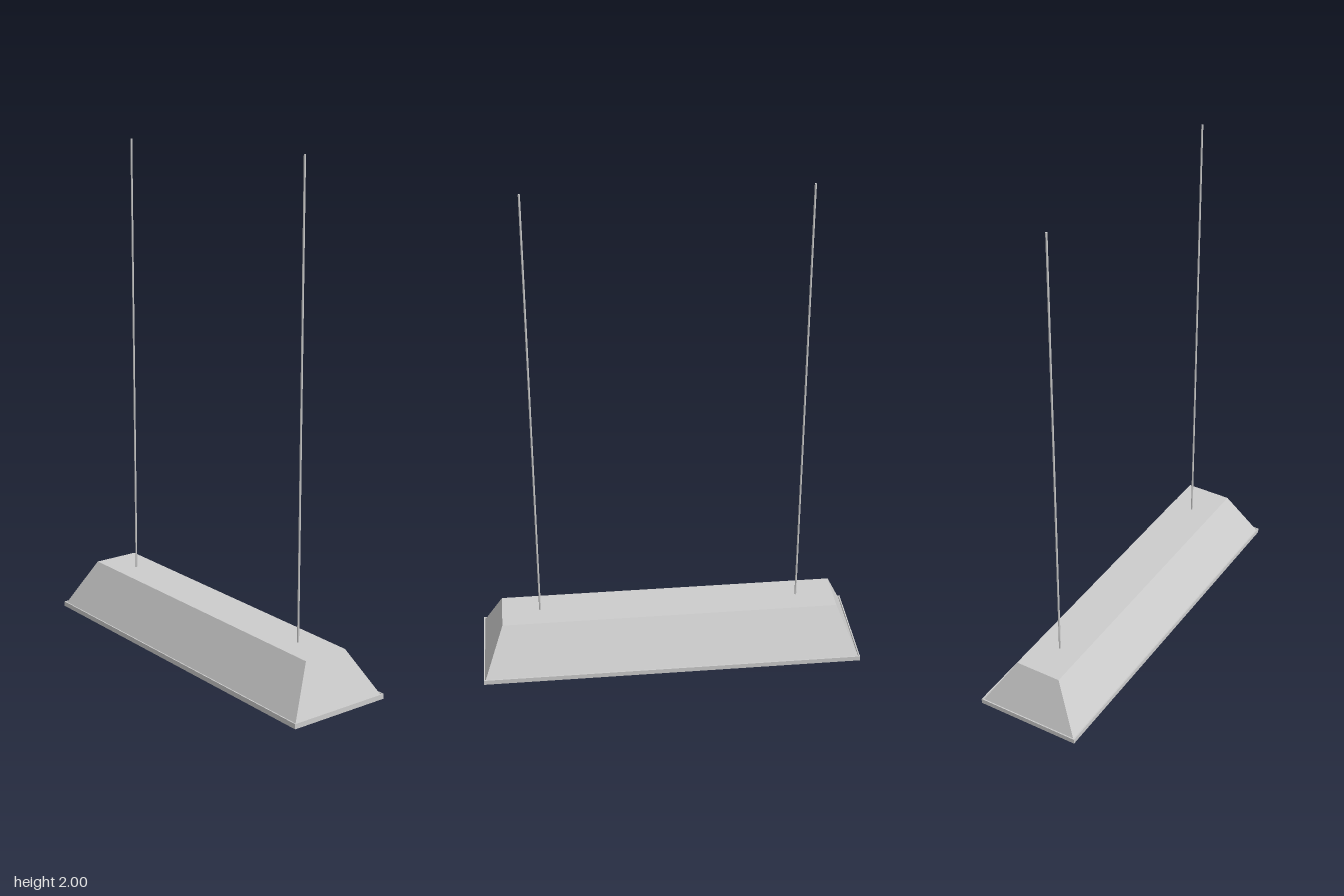
import * as THREE from 'three';

const lampGrey = new THREE.MeshStandardMaterial({ color: 0xcccccc, side: THREE.DoubleSide });
lampGrey.name = 'lamp grey';

const TOP = 0.2;

function add(parent, name, geometry, x = 0, y = 0, z = 0) {
  const mesh = new THREE.Mesh(geometry, lampGrey);
  mesh.name = name;
  mesh.position.set(x, y, z);
  parent.add(mesh);
}

// Tapered box, open underneath
function shadeGeometry() {
  const geometry = new THREE.BoxGeometry(2, 2, 2);
  const p = geometry.attributes.position;
  for (let i = 0; i < p.count; i++) {
    const top = p.getY(i) > 0;
    p.setXYZ(i, p.getX(i) * (top ? 0.685 : 0.766), top ? TOP : 0.008, p.getZ(i) * (top ? 0.095 : 0.212));
  }
  const index = Array.from(geometry.index.array);
  index.splice(18, 6); // leave out the bottom face
  geometry.setIndex(index);
  geometry.clearGroups();
  geometry.computeVertexNormals();
  return geometry;
}

function rectangle(PathType, w, d) {
  return new PathType([[-w, -d], [w, -d], [w, d], [-w, d]].map(([x, y]) => new THREE.Vector2(x, y)));
}

// Narrow rectangular band around the lower edge
function rimGeometry() {
  const shape = rectangle(THREE.Shape, 0.77, 0.215);
  shape.holes.push(rectangle(THREE.Path, 0.765, 0.21));
  return new THREE.ExtrudeGeometry(shape, { depth: 0.02, bevelEnabled: false }).rotateX(-Math.PI / 2);
}

export function createModel() {
  const lamp = new THREE.Group();
  lamp.name = 'pendantLamp';

  add(lamp, 'shade', shadeGeometry());
  add(lamp, 'rim', rimGeometry());

  // Suspension cords
  const cord = new THREE.CylinderGeometry(0.004, 0.004, 2 - TOP, 8);
  for (const x of [-0.53, 0.53]) add(lamp, 'cord', cord, x, (2 + TOP) / 2);

  // Bulbs hanging from short sockets under the shade top
  const globe = new THREE.SphereGeometry(0.038, 24, 16);
  const socket = new THREE.CylinderGeometry(0.014, 0.014, 0.05, 12);
  for (const x of [-0.47, 0, 0.47]) {
    add(lamp, 'bulb', globe, x, 0.122);
    add(lamp, 'socket', socket, x, 0.174);
  }
  return lamp;
}
